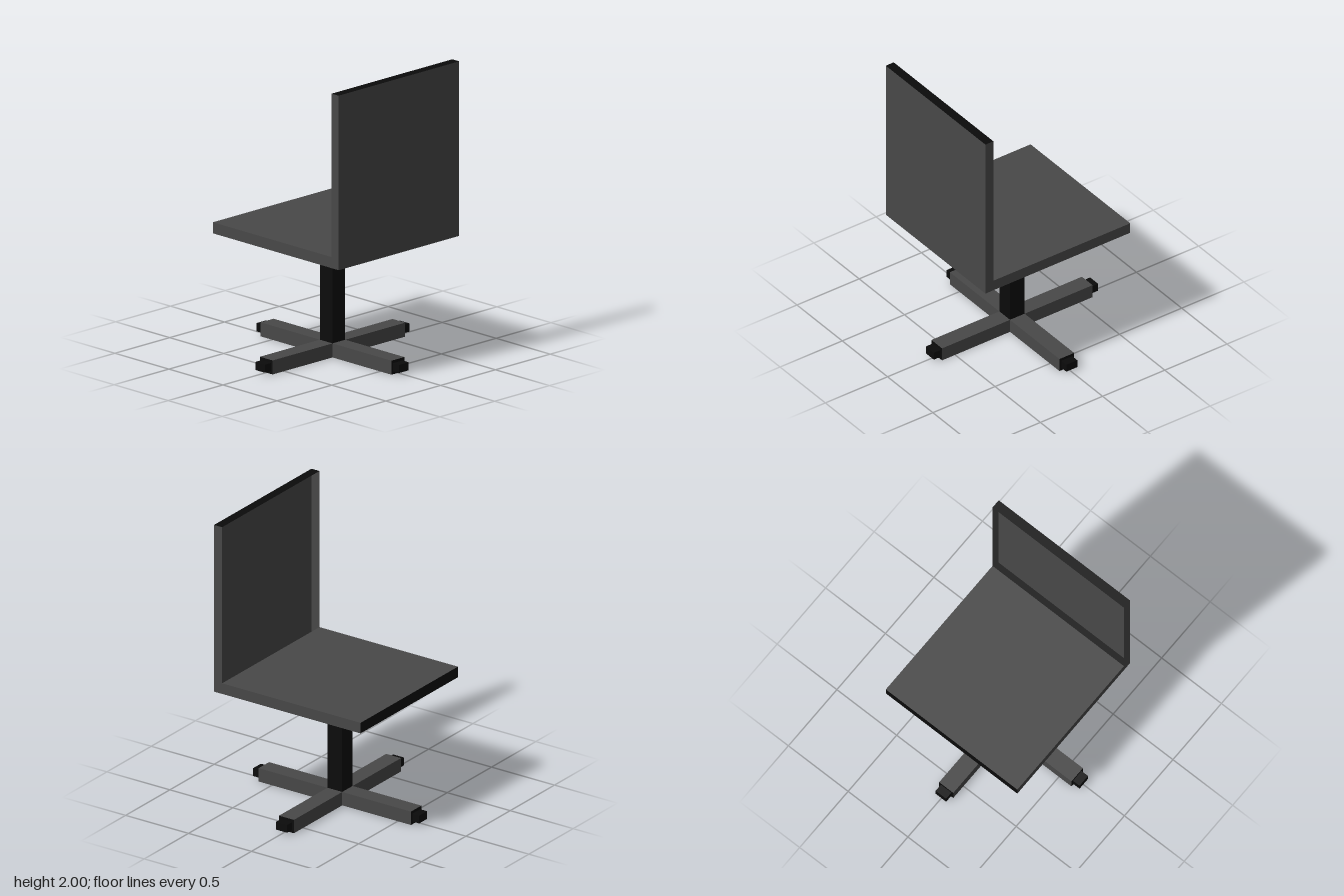
import * as THREE from 'three';

const grey = new THREE.MeshStandardMaterial({ color: 0x484848, side: THREE.DoubleSide });
const black = new THREE.MeshStandardMaterial({ color: 0x0b0b0b, side: THREE.DoubleSide });

function box(name, size, pos, material) {
  const mesh = new THREE.Mesh(new THREE.BoxGeometry(...size), material);
  mesh.name = name;
  mesh.position.set(...pos);
  return mesh;
}

// Shallow tray lying face up and open underneath: grey top and sides, black ends
function tray(name, width, length, depth) {
  const group = new THREE.Group();
  group.name = name;
  const panel = (label, w, h, pos, rx, ry, material) => {
    const mesh = new THREE.Mesh(new THREE.PlaneGeometry(w, h), material);
    mesh.name = label;
    mesh.position.set(...pos);
    mesh.rotation.set(rx, ry, 0);
    group.add(mesh);
  };
  panel('panel', width, length, [0, depth / 2, 0], -Math.PI / 2, 0, grey);
  for (const s of [1, -1]) {
    panel('sideEdge', length, depth, [s * width / 2, 0, 0], 0, s * Math.PI / 2, grey);
    panel('endEdge', width, depth, [0, 0, s * length / 2], 0, s > 0 ? 0 : Math.PI, black);
  }
  return group;
}

export function createModel() {
  const model = new THREE.Group();
  model.name = 'chair';

  // Seat, open underneath
  const seat = tray('seat', 1.1, 1.1, 0.075);
  seat.position.set(0, 0.853, 0);
  model.add(seat);

  // Backrest, its hollow side facing the seat
  const backrest = tray('backrest', 1.1, 1.185, 0.064);
  backrest.rotation.x = Math.PI / 2;
  backrest.position.set(0, 1.4075, 0.582);
  model.add(backrest);

  // Central post
  model.add(box('post', [0.116, 0.79, 0.116], [0, 0.395, 0], black));

  // Four legs with black ends and foot tips
  for (let i = 0; i < 4; i++) {
    const leg = new THREE.Group();
    leg.name = 'leg';
    const endBlack = [black, grey, grey, grey, grey, grey];
    leg.add(box('beam', [0.547, 0.095, 0.118], [0.3315, 0.0475, 0], endBlack));
    leg.add(box('tip', [0.06, 0.055, 0.088], [0.63, 0.0475, 0], black));
    leg.rotation.y = i * Math.PI / 2;
    model.add(leg);
  }
  return model;
}
